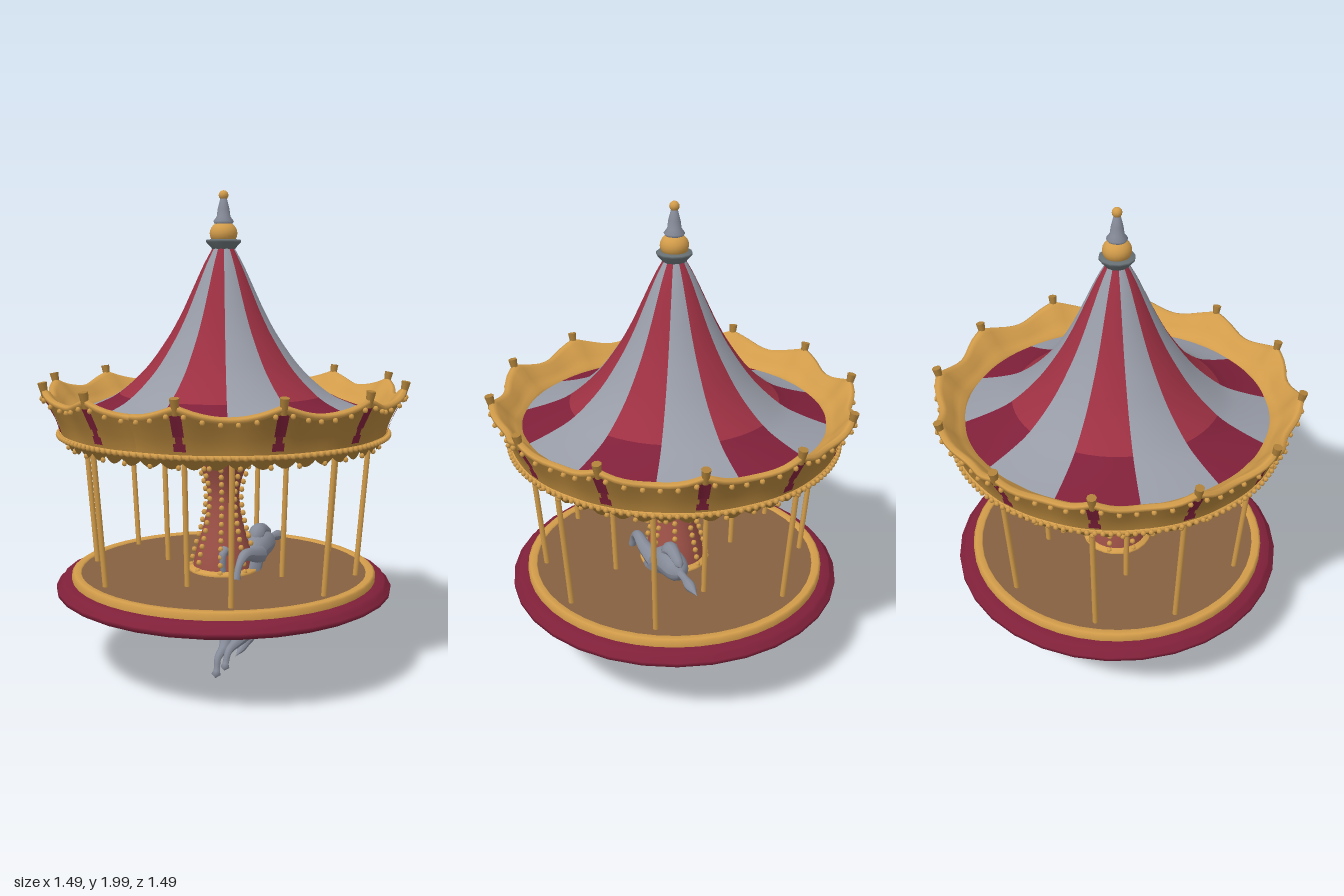
import * as THREE from 'three';
import { mergeGeometries } from 'three/addons/utils/BufferGeometryUtils.js';

const mat = (name, color, side = THREE.FrontSide) => {
  const m = new THREE.MeshStandardMaterial({ color, side });
  m.name = name;
  return m;
};
const V = (x, y, z) => new THREE.Vector3(x, y, z);
const RAD = Math.PI / 180;
// point at angle phi (degrees from +z towards +x)
const polar = (r, y, deg) => V(r * Math.sin(deg * RAD), y, r * Math.cos(deg * RAD));
const sections = [...Array(12).keys()];

export function createModel() {
  const root = new THREE.Group();
  root.name = 'carousel';
  const gold = mat('gold', 0xd29c4a);
  const darkGold = mat('dark gold', 0xae8039, THREE.DoubleSide);
  const grey = mat('pale grey', 0x979ba6);
  const slate = mat('slate', 0x666f73);
  const red = mat('red', 0x9c3042);
  const darkRed = mat('dark red', 0x7f2039);
  const columnRed = mat('column red', 0x9c5046);
  const brown = mat('floor brown', 0x85603f);
  const underBrown = mat('underside brown', 0x946c42);
  const midGrey = mat('mid grey', 0x868b99);

  const add = (name, geo, material, parent = root) => {
    const m = new THREE.Mesh(geo, material);
    m.name = name;
    parent.add(m);
    return m;
  };
  const lathe = (pts, segs = 48, start = 0, len = 360) =>
    new THREE.LatheGeometry(pts.map(p => new THREE.Vector2(...p)), segs, start * RAD, len * RAD);
  const disc = (r, y, up) => new THREE.CircleGeometry(r, 48).rotateX(up ? -Math.PI / 2 : Math.PI / 2).translate(0, y, 0);
  const bulbs = (name, points, r) => add(name, mergeGeometries(points.map(p =>
    new THREE.SphereGeometry(r, 6, 4).translate(p.x, p.y, p.z))), gold);
  const rod = (a, b, r0, r1 = r0, sides = 8) => {
    const d = b.clone().sub(a), g = new THREE.CylinderGeometry(r1, r0, d.length(), sides);
    g.applyQuaternion(new THREE.Quaternion().setFromUnitVectors(V(0, 1, 0), d.normalize()));
    const c = a.clone().add(b).multiplyScalar(0.5);
    return g.translate(c.x, c.y, c.z);
  };

  // Platform, hollow below
  add('platformBase', lathe([[0.595, 0.414], [0.61, 0.395], [0.665, 0.345], [0.685, 0.345], [0.705, 0.357], [0.705, 0.373],
    [0.685, 0.38], [0.68, 0.402], [0.63, 0.402]], 32), darkRed);
  add('platformRing', lathe([[0.64, 0.4], [0.64, 0.425], [0.63, 0.432], [0.605, 0.432], [0.6, 0.424]], 48), gold);
  add('floor', disc(0.61, 0.425, true), brown);
  add('platformUnderside', disc(0.6, 0.413, false), underBrown);
  add('undersideTrim', lathe([[0.59, 0.412], [0.606, 0.398]], 48), darkGold);
  add('columnFoot', disc(0.1, 0.408, false), columnRed);

  // Central column with strings of bulbs
  const column = new THREE.SplineCurve([[0.132, 0.425], [0.117, 0.5], [0.086, 0.61], [0.066, 0.72], [0.074, 0.8],
    [0.106, 0.89], [0.138, 0.97], [0.155, 1.03]].map(p => new THREE.Vector2(...p)));
  add('column', lathe(column.getPoints(20).map(p => [p.x, p.y]), 24), columnRed);
  add('columnBaseRing', lathe([[0.15, 0.424], [0.15, 0.436], [0.12, 0.445]], 24), gold);
  add('columnTopRing', lathe([[0.155, 1.0], [0.17, 1.008], [0.17, 1.022]], 24), gold);
  const columnBulbs = [];
  for (let k = 0; k < 8; k++) for (let i = 0; i <= 17; i++) {
    const p = column.getPointAt(0.02 + i * 0.054);
    columnBulbs.push(polar(p.x + 0.009, p.y, 22.5 + 45 * k));
  }
  bulbs('columnBulbs', columnBulbs, 0.0125);

  // Leaning poles: eight outside, four inside
  const poles = new THREE.Group();
  poles.name = 'poles';
  root.add(poles);
  const pole = (x, z, s) => add('pole', rod(V(x * s, 0.42, z * s), V(x, 1.03, z), 0.0115), gold, poles);
  for (const sx of [-1, 1]) {
    for (const sz of [-1, 1]) {
      pole(0.58 * sx, 0.18 * sz, 0.92);
      pole(0.31 * sx, 0.51 * sz, 0.92);
    }
    pole(0.295 * sx, 0, 0.93);
    pole(0, 0.33 * sx, 0.93);
  }

  // Striped tent roof, red stripes darken beyond a curved line
  const roofCurve = new THREE.SplineCurve([[0.63, 1.095], [0.525, 1.132], [0.43, 1.18], [0.32, 1.28], [0.232, 1.4],
    [0.175, 1.5], [0.128, 1.6], [0.082, 1.7], [0.044, 1.77]].map(p => new THREE.Vector2(...p)));
  const roofPts = roofCurve.getPoints(32).map(p => [p.x, p.y]);
  const roof = new THREE.Group();
  roof.name = 'roof';
  root.add(roof);
  for (const k of sections) {
    if (k % 2) add('greyStripe', lathe(roofPts, 5, 30 * k, 30), grey, roof);
    else {
      add('redStripeOuter', lathe(roofPts.slice(0, 9), 5, 30 * k, 30), darkRed, roof);
      add('redStripeInner', lathe(roofPts.slice(8), 5, 30 * k, 30), red, roof);
    }
  }

  // Finial
  add('finialCollar', lathe([[0.042, 1.755], [0.05, 1.77], [0.071, 1.793], [0.071, 1.802], [0.03, 1.808]], 12), slate);
  add('finialGlobe', new THREE.SphereGeometry(0.057, 20, 12).scale(1, 0.86, 1).translate(0, 1.828, 0), gold);
  add('finialSpire', lathe([[0.035, 1.865], [0.042, 1.876], [0.028, 1.895], [0.024, 1.925], [0.012, 1.972], [0, 1.975]], 12), midGrey);
  add('finialTip', new THREE.SphereGeometry(0.02, 12, 8).translate(0, 1.98, 0), gold);

  // Scalloped rim: the top edge rises to a cusp and bulges out at every ornament
  const shift = p => {
    const r = Math.hypot(p.x, p.z), sin = Math.abs(Math.sin(6 * (Math.atan2(p.x, p.z) - 15 * RAD)));
    const w = THREE.MathUtils.clamp((p.y - 1.015) / 0.14, 0, 1);
    const out = THREE.MathUtils.clamp((r - 0.6) / 0.1, 0, 1);
    const s = (r + 0.032 * (1 - sin ** 3) * w * out) / r;
    return p.set(p.x * s, p.y + 0.046 * (1 - sin) * w * out, p.z * s);
  };
  const scallop = geo => {
    const a = geo.attributes.position, p = V();
    for (let i = 0; i < a.count; i++) {
      shift(p.fromBufferAttribute(a, i));
      a.setXYZ(i, p.x, p.y, p.z);
    }
    geo.computeVertexNormals();
    return geo;
  };
  add('rimWall', scallop(lathe([[0.672, 1.012], [0.672, 1.04], [0.682, 1.08], [0.698, 1.12], [0.713, 1.155]], 144)), darkGold);
  add('rimLip', scallop(lathe([[0.71, 1.146], [0.721, 1.153], [0.721, 1.166], [0.706, 1.172], [0.69, 1.162],
    [0.665, 1.13], [0.645, 1.108], [0.625, 1.102], [0.62, 1.085]], 144)), gold);
  add('rimLowerBand', lathe([[0.655, 1.008], [0.678, 1.01], [0.682, 1.018], [0.678, 1.026], [0.67, 1.028]], 72), gold);

  // Hanging fringe with small scallops
  const fringe = lathe([[0.645, 0.995], [0.665, 1.015]], 288);
  const fp = fringe.attributes.position;
  for (let i = 0; i < fp.count; i += 2)
    fp.setY(i, 0.99 - 0.022 * Math.abs(Math.sin(24 * Math.atan2(fp.getX(i), fp.getZ(i)))));
  add('fringe', fringe, darkGold);

  // Bulbs, red panels and flared ornaments around the rim
  const rimBulbs = [], ceilingBulbs = [];
  for (let i = 0; i < 144; i++) {
    rimBulbs.push(polar(0.684, 1.018, i * 2.5));
    if (i % 2) rimBulbs.push(shift(polar(0.72, 1.143, i * 2.5)));
    if (i % 4 === 0) rimBulbs.push(polar(0.648, 0.975, i * 2.5 + 3.75));
  }
  const ornaments = new THREE.Group();
  ornaments.name = 'rimOrnaments';
  root.add(ornaments);
  for (const k of sections) {
    const a = 15 + 30 * k;
    const panel = (pts, w) => add('redPanel', scallop(lathe(pts, 4, a - w / 2, w)), darkRed, ornaments);
    panel([[0.677, 1.035], [0.678, 1.042], [0.682, 1.06]], 3.8);
    panel([[0.682, 1.06], [0.687, 1.08]], 2.2);
    panel([[0.687, 1.08], [0.703, 1.12], [0.712, 1.142]], 3.4);
    add('ornament', rod(polar(0.738, 1.18, a), polar(0.75, 1.242, a), 0.012, 0.019, 8), darkGold, ornaments);
    for (let i = 0; i < 14; i++) ceilingBulbs.push(polar(0.19 + i * 0.033, 1.006, a));
  }
  bulbs('rimBulbs', rimBulbs, 0.011);
  bulbs('ceilingBulbs', ceilingBulbs, 0.011);

  // Ceiling under the roof: dark panels on red
  add('ceiling', disc(0.67, 1.018, false), darkRed);
  for (const k of sections)
    add('ceilingPanel', new THREE.RingGeometry(0.18, 0.61, 8, 1, (30 * k - 10.5) * RAD, 21 * RAD)
      .rotateX(Math.PI / 2).translate(0, 1.012, 0), darkGold);

  // Rearing horse that passes through the floor
  const horse = new THREE.Group();
  horse.name = 'horse';
  root.add(horse);
  // tapered tube; each row is x, y, z, radius
  const limb = (name, rows, n = 20, m = 10) => {
    const path = new THREE.CatmullRomCurve3(rows.map(r => V(r[0], r[1], r[2])));
    const radius = new THREE.SplineCurve(rows.map((r, i) => new THREE.Vector2(i, r[3])));
    const geo = new THREE.TubeGeometry(path, n, 1, m), a = geo.attributes.position, p = V();
    for (let i = 0; i < a.count; i++) {
      const u = Math.floor(i / (m + 1)) / n, c = path.getPointAt(u);
      const r = Math.max(radius.getPoint(path.getUtoTmapping(u)).y, 0.0005);
      p.fromBufferAttribute(a, i).sub(c).multiplyScalar(r).add(c);
      a.setXYZ(i, p.x, p.y, p.z);
    }
    geo.computeVertexNormals();
    add(name, geo, midGrey, horse);
  };
  limb('body', [[0.085, 0.15, 0.03, 0.001], [0.085, 0.19, 0.015, 0.066], [0.085, 0.25, 0.0, 0.082], [0.085, 0.32, -0.01, 0.07],
    [0.085, 0.41, -0.03, 0.07], [0.085, 0.48, -0.1, 0.06], [0.085, 0.5, -0.17, 0.06], [0.085, 0.5, -0.24, 0.045], [0.085, 0.5, -0.28, 0.001]], 36, 16);
  limb('head', [[0.085, 0.5, -0.13, 0.03], [0.085, 0.555, -0.145, 0.035], [0.085, 0.565, -0.18, 0.028], [0.085, 0.54, -0.25, 0.018], [0.085, 0.535, -0.265, 0.001]]);
  limb('mane', [[0.085, 0.5, -0.22, 0.02], [0.085, 0.505, -0.3, 0.016], [0.085, 0.5, -0.36, 0.022], [0.085, 0.495, -0.425, 0.001]]);
  limb('leftForeleg', [[0.125, 0.48, -0.08, 0.04], [0.14, 0.5, 0.0, 0.03], [0.14, 0.515, 0.08, 0.022], [0.14, 0.48, 0.13, 0.014], [0.14, 0.43, 0.15, 0.016]]);
  limb('rightForeleg', [[0.055, 0.47, -0.08, 0.04], [0.055, 0.47, 0.02, 0.028], [0.055, 0.53, 0.1, 0.018], [0.055, 0.47, 0.11, 0.013], [0.055, 0.43, 0.1, 0.015]]);
  limb('leftHindLeg', [[0.12, 0.22, 0.01, 0.05], [0.125, 0.175, 0.07, 0.04], [0.125, 0.15, 0.13, 0.022], [0.125, 0.135, 0.19, 0.015], [0.125, 0.09, 0.215, 0.013], [0.125, 0.075, 0.222, 0.019], [0.125, 0.065, 0.226, 0.001]]);
  limb('rightHindLeg', [[0.05, 0.22, 0.01, 0.05], [0.05, 0.16, 0.05, 0.038], [0.055, 0.11, 0.1, 0.022], [0.057, 0.085, 0.155, 0.015], [0.06, 0.04, 0.17, 0.013], [0.06, 0.018, 0.178, 0.019], [0.06, 0.007, 0.183, 0.001]]);
  limb('tail', [[0.085, 0.2, -0.03, 0.02], [0.085, 0.16, -0.055, 0.03], [0.085, 0.125, -0.065, 0.035], [0.09, 0.1, -0.025, 0.022], [0.095, 0.085, 0.02, 0.015], [0.095, 0.07, 0.07, 0.001]]);
  add('strap', new THREE.TorusGeometry(0.071, 0.006, 6, 24).rotateX(Math.PI / 2 - 0.15).translate(0.085, 0.315, -0.01), gold, horse);
  return root;
}
